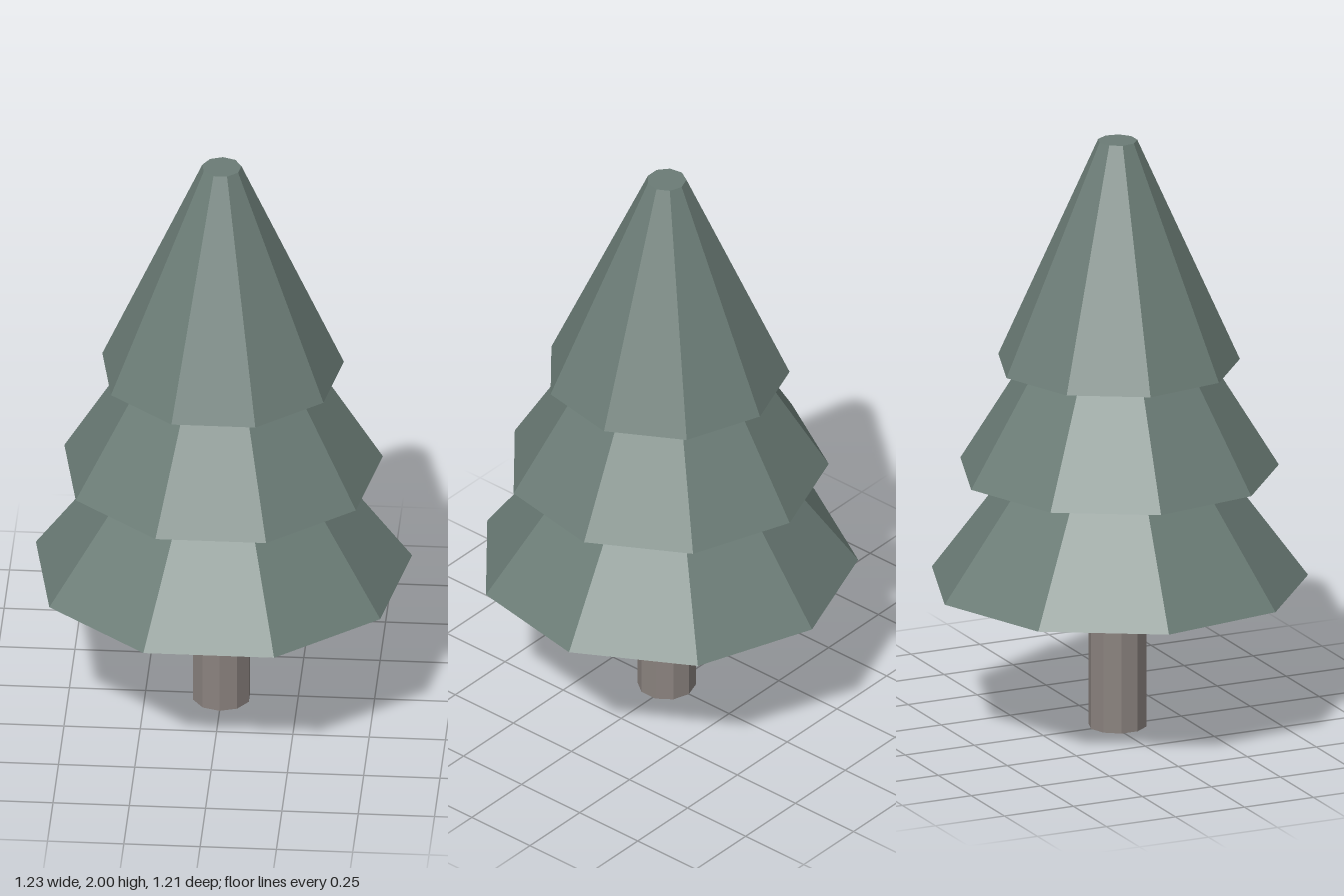
import * as THREE from 'three';

const CENTRE_Z = 0.019;

// Faceted, capped frustum standing on y = base with one corner pointing to the back
function frustum(name, topRadius, bottomRadius, base, height, sides, material) {
  const geometry = new THREE.CylinderGeometry(topRadius, bottomRadius, height, sides, 1, false, Math.PI);
  geometry.translate(0, base + height / 2, CENTRE_Z);
  const mesh = new THREE.Mesh(geometry, material);
  mesh.name = name;
  return mesh;
}

export function createModel() {
  const tree = new THREE.Group();
  tree.name = 'pineTree';

  const bark = new THREE.MeshStandardMaterial({ color: 0x8a827e, flatShading: true });
  const needles = new THREE.MeshStandardMaterial({ color: 0x6b7c76, flatShading: true });

  // Trunk, reaching a little into the lowest tier
  tree.add(frustum('trunk', 0.096, 0.096, 0, 0.6, 10, bark));

  // Three nested tiers of equal height and shrinking skirts
  const tiers = [
    { name: 'lowerFoliage', base: 0.495, radius: 0.626 },
    { name: 'middleFoliage', base: 0.875, radius: 0.53 },
    { name: 'upperFoliage', base: 1.24, radius: 0.402 },
  ];
  for (const { name, base, radius } of tiers) {
    tree.add(frustum(name, 0.065, radius, base, 0.76, 9, needles));
  }
  return tree;
}
